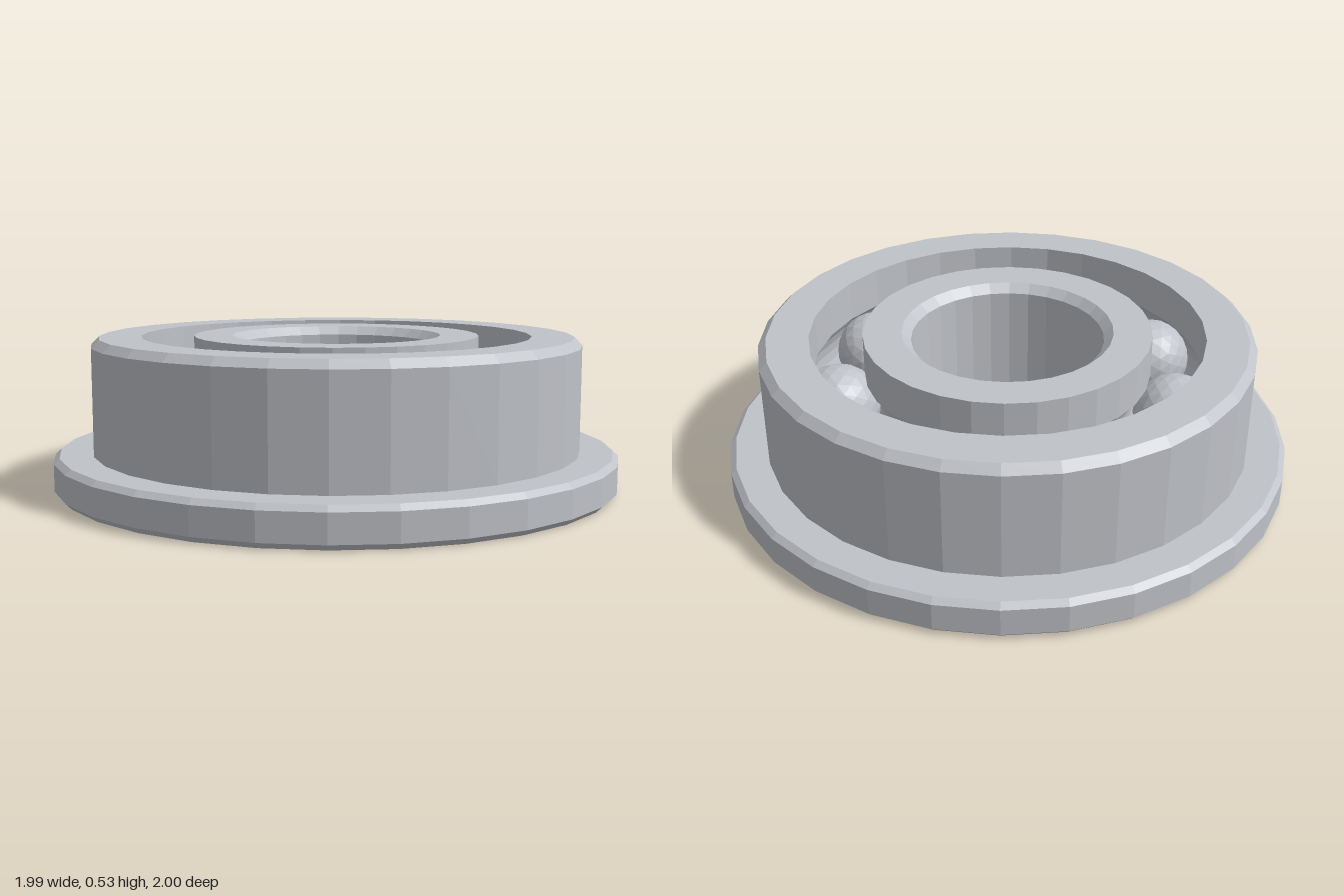
import * as THREE from 'three';

const SIDES = 30, HEIGHT = 0.533, MID = HEIGHT / 2;
const BALLS = 9, PITCH = 0.6, BALL_R = 0.146, GROOVE_R = 0.15;

// Give every facet its own flat normal
function faceted(geometry) {
  const g = geometry.index ? geometry.toNonIndexed() : geometry;
  g.computeVertexNormals();
  return g;
}

// Arc of the ball groove where it cuts into a wall of the given radius
function groove(wallRadius, fromAngleSign, steps = 8) {
  const reach = Math.acos(Math.abs(wallRadius - PITCH) / GROOVE_R);
  const middle = wallRadius > PITCH ? 0 : Math.PI;
  const points = [];
  for (let i = 0; i <= steps; i++) {
    const a = middle + fromAngleSign * reach * (1 - (2 * i) / steps);
    points.push([PITCH + GROOVE_R * Math.cos(a), MID + GROOVE_R * Math.sin(a)]);
  }
  return points;
}

// Closed ring turned from an anticlockwise (radius, height) profile
function ring(name, profile, material) {
  const points = [...profile, profile[0]].map(([r, y]) => new THREE.Vector2(r, y));
  const mesh = new THREE.Mesh(faceted(new THREE.LatheGeometry(points, SIDES)), material);
  mesh.name = name;
  return mesh;
}

export function createModel() {
  const model = new THREE.Group();
  model.name = 'flangedBallBearing';
  const steel = new THREE.MeshStandardMaterial({ color: 0xbfc2c8 });
  steel.name = 'steel grey';

  // Outer ring with bottom flange, chamfered rims and inner groove
  model.add(ring('outerRing', [
    [0.69, 0], [0.98, 0], [1, 0.02], [1, 0.115], [0.98, 0.133],
    [0.865, 0.133], [0.865, 0.505], [0.837, HEIGHT], [0.69, HEIGHT],
    ...groove(0.69, 1),
  ], steel));

  // Inner ring with chamfered bore and outer groove
  model.add(ring('innerRing', [
    [0.505, 0], ...groove(0.505, 1), [0.505, HEIGHT],
    [0.37, HEIGHT], [0.338, HEIGHT - 0.03], [0.338, 0.03], [0.37, 0],
  ], steel));

  // Balls evenly spaced in the race
  const balls = new THREE.Group();
  balls.name = 'balls';
  const ballGeometry = faceted(new THREE.IcosahedronGeometry(BALL_R, 3));
  for (let i = 0; i < BALLS; i++) {
    const a = (i / BALLS) * Math.PI * 2;
    const ball = new THREE.Mesh(ballGeometry, steel);
    ball.name = 'ball' + (i + 1);
    ball.position.set(PITCH * Math.cos(a), MID, PITCH * Math.sin(a));
    ball.rotation.y = -a;
    balls.add(ball);
  }
  model.add(balls);
  return model;
}
